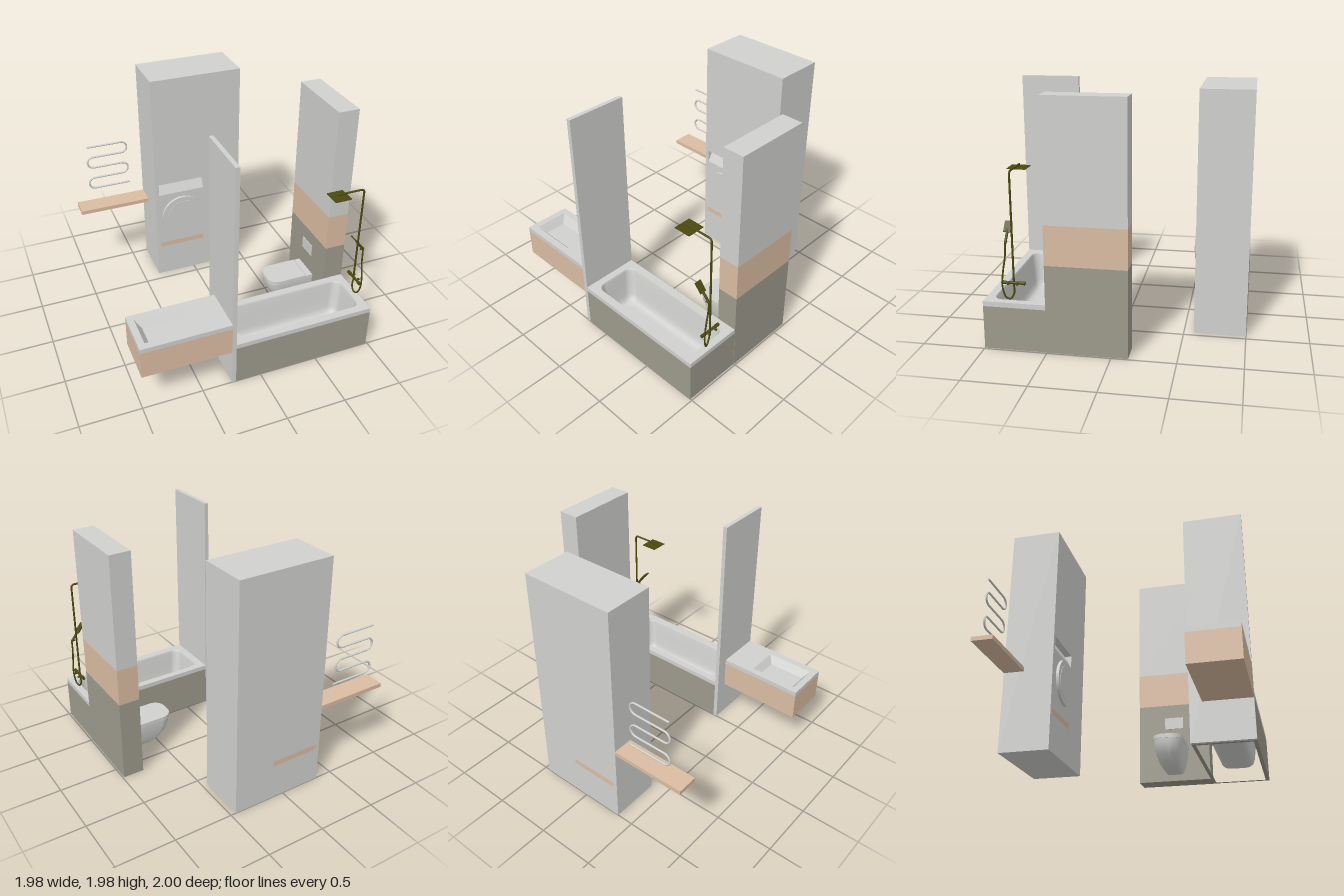
import * as THREE from 'three';

export function createModel() {
  const root = new THREE.Group();
  root.name = 'bathroom';
  const mat = (name, color, side = THREE.FrontSide) => {
    const m = new THREE.MeshStandardMaterial({ color, side });
    m.name = name;
    return m;
  };
  const white = mat('whiteGrey', 0xd0d0ce, THREE.DoubleSide);
  const wood = mat('lightWood', 0xdabca2);
  const stone = mat('stoneGrey', 0x9d9a8c);
  const bronze = mat('darkBronze', 0x4b490f);

  const add = (name, geo, m) => {
    const mesh = new THREE.Mesh(geo, m);
    mesh.name = name;
    root.add(mesh);
    return mesh;
  };
  // box given by its extents
  const box = (name, m, x0, x1, y0, y1, z0, z1) => {
    const mesh = add(name, new THREE.BoxGeometry(x1 - x0, y1 - y0, z1 - z0), m);
    mesh.position.set((x0 + x1) / 2, (y0 + y1) / 2, (z0 + z1) / 2);
    return mesh;
  };
  // rounded rectangle in plan; r for the -x corners, r2 for the +x corners
  const rrect = (x0, x1, z0, z1, r = 0, k = 0, r2 = r) => {
    const pts = [];
    [[x1 - r2, z1 - r2, r2], [x0 + r, z1 - r, r], [x0 + r, z0 + r, r], [x1 - r2, z0 + r2, r2]].forEach(([cx, cz, cr], q) => {
      for (let i = 0; i <= k; i++) {
        const a = (q + (k ? i / k : 0)) * Math.PI / 2;
        pts.push(new THREE.Vector2(cx + cr * Math.cos(a), cz + cr * Math.sin(a)));
      }
    });
    return pts;
  };
  // horizontal slab from a plan outline, with an optional hole
  const slab = (name, m, loop, hole, y0, y1) => {
    const flip = (pts) => pts.map((p) => new THREE.Vector2(p.x, -p.y));
    const shape = new THREE.Shape(flip(loop));
    if (hole) shape.holes.push(new THREE.Path(flip(hole)));
    const geo = new THREE.ExtrudeGeometry(shape, { depth: y1 - y0, bevelEnabled: false });
    geo.rotateX(-Math.PI / 2);
    add(name, geo, m).position.y = y0;
  };
  // skin through plan loops from top to bottom, closed at the last loop
  const loft = (name, m, sections, inward, flat) => {
    const n = sections[0][1].length, pos = [], idx = [];
    sections.forEach(([y, loop]) => loop.forEach((p) => pos.push(p.x, y, p.y)));
    const tri = (a, b, c) => (inward ? idx.push(a, b, c) : idx.push(a, c, b));
    for (let s = 0; s < sections.length - 1; s++) {
      for (let i = 0; i < n; i++) {
        const a = s * n + i, b = s * n + (i + 1) % n;
        tri(a, a + n, b);
        tri(b, a + n, b + n);
      }
    }
    const [yEnd, last] = sections[sections.length - 1];
    const c = last.reduce((v, p) => v.add(p), new THREE.Vector2()).divideScalar(n);
    const base = (sections.length - 1) * n;
    pos.push(c.x, yEnd, c.y);
    for (let i = 0; i < n; i++) tri(base + i, base + n, base + (i + 1) % n);
    let geo = new THREE.BufferGeometry();
    geo.setAttribute('position', new THREE.Float32BufferAttribute(pos, 3));
    geo.setIndex(idx);
    if (flat) geo = geo.toNonIndexed();
    geo.computeVertexNormals();
    add(name, geo, m);
  };
  const V = (x, y, z) => new THREE.Vector3(x, y, z);
  const rod = (name, m, a, b, r) => {
    const mesh = add(name, new THREE.CylinderGeometry(r, r, a.distanceTo(b), 16), m);
    mesh.position.copy(a).add(b).multiplyScalar(0.5);
    mesh.quaternion.setFromUnitVectors(V(0, 1, 0), b.clone().sub(a).normalize());
  };

  // tall cabinets
  box('cabinetSidePanel', white, -0.355, -0.32, 0, 1.98, -1, -0.58);
  box('cabinetUpperLeft', white, -0.32, 0.105, 0.98, 1.98, -1, -0.58);
  box('cabinetLowerLeft', white, -0.32, 0.105, 0, 0.305, -1, -0.58);
  box('washerShelf', wood, -0.32, 0.105, 0.305, 0.35, -1, -0.58);
  box('cabinetUpperRight', white, 0.105, 0.455, 0.53, 1.98, -1, -0.58);
  box('cabinetLowerRight', white, 0.105, 0.455, 0, 0.53, -1, -0.58);

  // washing machine with sloping control panel and round door
  const side = new THREE.Shape([[1, 0.35], [0.58, 0.35], [0.58, 0.87], [0.64, 0.98], [1, 0.98]].map(([a, b]) => new THREE.Vector2(a, b)));
  const washer = add('washerBody', new THREE.ExtrudeGeometry(side, { depth: 0.425, bevelEnabled: false }), white);
  washer.rotation.y = Math.PI / 2;
  washer.position.x = -0.32;
  [['washerDoorBase', 0.155, -0.58, -0.565], ['washerDoor', 0.193, -0.568, -0.543], ['washerDoorCentre', 0.153, -0.543, -0.54]]
    .forEach(([name, r, z0, z1]) => rod(name, white, V(-0.108, 0.638, z0), V(-0.108, 0.638, z1), r));
  const doorGeo = new THREE.CylinderGeometry(0.193, 0.193, 0.025, 64);
  root.getObjectByName('washerDoor').geometry = doorGeo;

  // wall shelf and serpentine towel rail
  box('wallShelf', wood, -0.99, -0.355, 0.675, 0.71, -1, -0.825);
  const rail = new THREE.CurvePath();
  const zr = -0.967, step = 0.106, xs = [-0.812, -0.548];
  let from = V(-0.855, 1.275, zr);
  for (let i = 0; i < 5; i++) {
    const y = 1.275 - i * step, right = i % 2 === 0;
    const to = V(i === 4 ? -0.49 : xs[right ? 1 : 0], y, zr);
    rail.add(new THREE.LineCurve3(from, to));
    if (i === 4) break;
    const b = (right ? 1 : -1) * step * 0.5, k = 0.5523;
    const mid = V(to.x + b, y - step / 2, zr);
    from = V(to.x, y - step, zr);
    rail.add(new THREE.CubicBezierCurve3(to, V(to.x + b * k, y, zr), V(mid.x, mid.y + step / 2 * k, zr), mid));
    rail.add(new THREE.CubicBezierCurve3(mid, V(mid.x, mid.y - step / 2 * k, zr), V(to.x + b * k, from.y, zr), from));
  }
  add('towelRail', new THREE.TubeGeometry(rail, 260, 0.0085, 12), white);
  [[-0.855, 1.275], [-0.49, 1.275 - 4 * step]].forEach(([x, y]) =>
    rod('towelRailEnd', white, V(x - 0.002, y, zr), V(x + 0.002, y, zr), 0.0085));

  // vanity with sunken basin
  const basin = rrect(-0.935, -0.515, 0.66, 0.94);
  const vanity = rrect(-0.99, -0.25, 0.605, 1);
  box('vanityCabinet', wood, -0.99, -0.25, 0.325, 0.53, 0.605, 1);
  slab('vanityCabinetTop', wood, vanity, basin, 0.53, 0.565);
  slab('vanityCounter', white, vanity, basin, 0.565, 0.605);
  loft('washBasin', white, [[0.605, basin], [0.54, rrect(-0.886, -0.564, 0.709, 0.891)]], true, true);

  // partition between vanity and bath
  box('partitionPanel', white, -0.25, -0.215, 0, 1.98, 0.503, 1);

  // bath: apron, rim and tub
  const tub = (d, r) => rrect(-0.155 + d, 0.925 - d, 0.565 + d, 0.935 - d, r, 8);
  const bathPlan = rrect(-0.215, 0.985, 0.505, 1);
  slab('bathApron', stone, bathPlan, rrect(-0.185, 0.955, 0.535, 0.97), 0, 0.35);
  slab('bathRim', white, bathPlan, tub(0, 0.07), 0.35, 0.39);
  loft('bathTub', white, [
    [0.39, tub(0, 0.07)], [0.375, tub(0.008, 0.07)], [0.25, tub(0.024, 0.07)], [0.15, tub(0.038, 0.07)],
    [0.11, tub(0.05, 0.07)], [0.09, tub(0.07, 0.07)], [0.083, tub(0.1, 0.06)], [0.083, tub(0.12, 0.05)],
  ], true);

  // service wall in three bands
  [[stone, 0, 0.71], [wood, 0.71, 1.025], [white, 1.025, 1.98]].forEach(([m, y0, y1], i) =>
    box(['serviceWallBase', 'serviceWallBand', 'serviceWallTop'][i], m, 0.81, 0.988, y0, y1, -0.13, 0.505));

  // wall-hung toilet with flush plate
  const bowl = (d, x, r) => rrect(x, 0.86, 0.068 + d, 0.317 - d, r, 8, 0.02);
  loft('toiletBowl', white, [
    [0.275, bowl(0, 0.405, 0.095)], [0.22, bowl(0.004, 0.41, 0.095)], [0.15, bowl(0.018, 0.44, 0.09)],
    [0.09, bowl(0.035, 0.5, 0.08)], [0.06, bowl(0.055, 0.57, 0.06)], [0.055, bowl(0.075, 0.62, 0.045)],
  ], false);
  slab('toiletLid', white, rrect(0.4, 0.745, 0.065, 0.32, 0.095, 10, 0.004), null, 0.275, 0.31);
  box('toiletHinge', white, 0.752, 0.81, 0.275, 0.305, 0.065, 0.32);
  box('flushPlate', white, 0.803, 0.81, 0.48, 0.585, 0.11, 0.275);

  // shower column, head and mixer
  const zc = 0.755;
  const column = new THREE.CurvePath();
  column.add(new THREE.LineCurve3(V(0.95, 0.545, zc), V(0.95, 1.385, zc)));
  column.add(new THREE.QuadraticBezierCurve3(V(0.95, 1.385, zc), V(0.95, 1.413, zc), V(0.922, 1.413, zc)));
  column.add(new THREE.LineCurve3(V(0.922, 1.413, zc), V(0.705, 1.413, zc)));
  add('showerColumn', new THREE.TubeGeometry(column, 120, 0.008, 12), bronze);
  rod('showerHeadJoint', bronze, V(0.73, 1.395, zc), V(0.73, 1.413, zc), 0.008);
  box('showerHead', bronze, 0.66, 0.8, 1.392, 1.398, 0.68, 0.825);
  rod('mixerBar', bronze, V(0.953, 0.545, 0.69), V(0.953, 0.545, 0.82), 0.011);
  [0.665, 0.815].forEach((z) => rod('mixerKnob', bronze, V(0.953, 0.545, z), V(0.953, 0.545, z + 0.035), 0.014));
  [0.72, 0.79].forEach((z) => rod('mixerMount', bronze, V(0.953, 0.545, z), V(0.985, 0.545, z), 0.01));
  rod('columnMount', bronze, V(0.95, 0.87, 0.8), V(0.982, 0.87, 0.8), 0.008);

  // hand shower and hose
  rod('handShowerHandle', bronze, V(0.978, 0.865, 0.8), V(0.905, 0.955, 0.8), 0.01);
  const head = add('handShowerHead', new THREE.BoxGeometry(0.012, 0.09, 0.055), bronze);
  head.position.set(0.893, 0.972, 0.803);
  head.rotation.z = 0.68;
  const hose = new THREE.CatmullRomCurve3([
    V(0.953, 0.54, 0.755), V(0.945, 0.46, 0.757), V(0.952, 0.415, 0.785), V(0.965, 0.43, 0.815),
    V(0.975, 0.52, 0.838), V(0.975, 0.63, 0.83), V(0.975, 0.76, 0.808), V(0.978, 0.865, 0.8),
  ]);
  add('showerHose', new THREE.TubeGeometry(hose, 80, 0.007, 10), bronze);

  return root;
}
